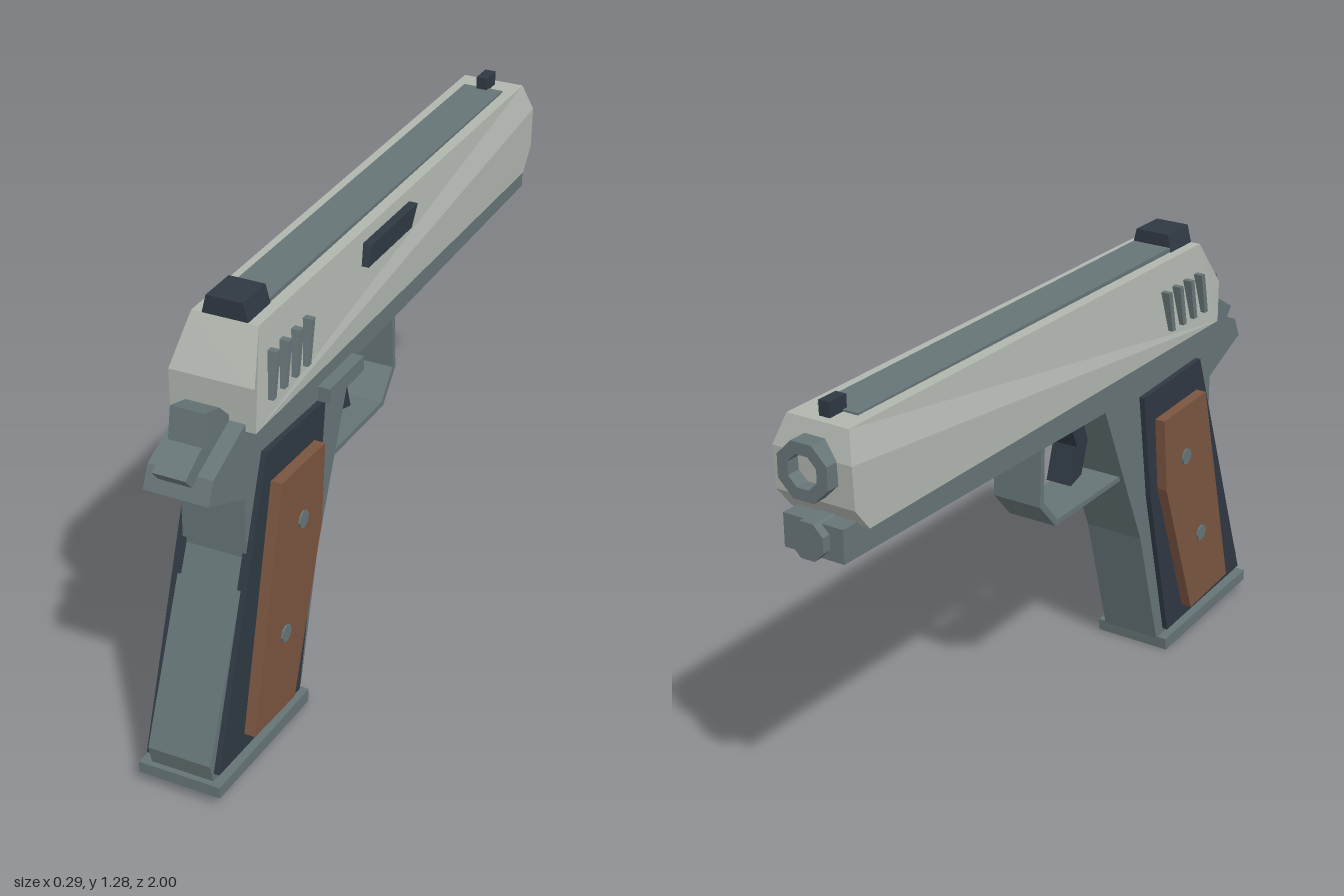
import * as THREE from 'three';

const mat = (color) => new THREE.MeshStandardMaterial({ color, flatShading: true });

export function createModel() {
  const group = new THREE.Group();
  const steel = mat(0xb0b5ae), grey = mat(0x667476), dark = mat(0x2f3842), wood = mat(0x7a5540);

  const add = (name, geo, material) => {
    const mesh = new THREE.Mesh(geo, material);
    mesh.name = name;
    group.add(mesh);
    return mesh;
  };
  // Side profile of [z, y] points, extruded from x0 to x1
  const slab = (name, pts, x0, x1, material) => {
    const shape = new THREE.Shape(pts.map(([z, y]) => new THREE.Vector2(z, y)));
    const geo = new THREE.ExtrudeGeometry(shape, { depth: x1 - x0, bevelEnabled: false });
    geo.rotateY(-Math.PI / 2).translate(x1, 0, 0);
    return add(name, geo, material);
  };
  const box = (name, x0, x1, y0, y1, z0, z1, material) => {
    const geo = new THREE.BoxGeometry(x1 - x0, y1 - y0, z1 - z0);
    geo.translate((x0 + x1) / 2, (y0 + y1) / 2, (z0 + z1) / 2);
    return add(name, geo, material);
  };

  // Slide: mirrored profile of [z, y, halfWidth], narrower along the top
  const profile = [
    [0.765, 0.985, 0.118], [0.765, 1.107, 0.118], [0.69, 1.237, 0.092], [-0.936, 1.245, 0.092],
    [-0.963, 1.166, 0.118], [-0.957, 1.05, 0.118], [-0.904, 0.985, 0.118],
  ];
  const n = profile.length, pos = [], idx = [];
  for (const s of [1, -1]) for (const [z, y, w] of profile) pos.push(s * w, y, z);
  for (let i = 0; i < n; i++) {
    const j = (i + 1) % n;
    idx.push(i, j, n + j, i, n + j, n + i);
    if (i > 0 && i < n - 1) idx.push(0, i + 1, i, n, n + i, n + i + 1);
  }
  const slide = new THREE.BufferGeometry();
  slide.setAttribute('position', new THREE.Float32BufferAttribute(pos, 3));
  slide.setIndex(idx);
  slide.computeVertexNormals();
  add('slide', slide, steel);

  // Slide details
  box('topRib', -0.06, 0.06, 1.22, 1.25, -0.86, 0.6, grey);
  box('frontSight', -0.016, 0.016, 1.23, 1.285, -0.91, -0.845, dark);
  const rearSight = box('rearSight', -0.065, 0.065, 1.23, 1.287, 0.577, 0.69, dark);
  const sp = rearSight.geometry.attributes.position;
  for (let i = 0; i < sp.count; i++) if (sp.getY(i) > 1.26) sp.setX(i, sp.getX(i) * 0.78);
  slab('ejectionPort', [[0.134, 1.208], [0.155, 1.152], [-0.107, 1.152], [-0.144, 1.208]], 0.09, 0.121, dark);
  for (const s of [1, -1]) {
    for (let i = 0; i < 4; i++) {
      const z = 0.665 - i * 0.061;
      slab('serration', [[z, 1.16], [z + 0.025, 1.04], [z + 0.007, 1.04], [z - 0.018, 1.16]],
        s > 0 ? 0.09 : -0.126, s > 0 ? 0.126 : -0.09, grey);
    }
  }

  // Octagonal barrel with an open bore, and the plug beneath it
  const ring = [[0, 0.1], [0.046, 0.1], [0.046, 0.2], [0.08, 0.2], [0.08, 0]]
    .reverse().map(([r, h]) => new THREE.Vector2(r, h));
  const barrel = new THREE.LatheGeometry(ring, 8, Math.PI / 8);
  barrel.rotateX(-Math.PI / 2).translate(0, 1.137, -0.8);
  add('barrel', barrel, grey);
  const plug = new THREE.CylinderGeometry(0.053, 0.053, 0.1, 8);
  plug.rotateY(Math.PI / 8).rotateX(-Math.PI / 2).translate(0, 0.957, -0.945);
  add('recoilPlug', plug, grey);

  // Frame with dust cover, grip and rear tang
  slab('frame', [
    [0.765, 1.005], [0.925, 0.936], [0.952, 0.877], [0.78, 0.8], [0.78, 0.626], [0.995, 0.123],
    [0.98, 0.06], [0.503, 0.043], [0.396, 0.42], [0.193, 0.888], [-0.97, 0.909], [-0.97, 1.0],
  ], -0.09, 0.09, grey);
  slab('magazineBase', [[1, 0.07], [1, 0.037], [0.515, 0.005], [0.51, 0.043]], -0.118, 0.118, grey);
  slab('hammer', [
    [0.765, 1.02], [0.81, 1.064], [0.882, 1.085], [0.898, 1.0], [0.979, 0.952], [0.952, 0.92], [0.76, 0.99],
  ], -0.046, 0.046, grey);
  box('slideStop', 0.112, 0.147, 0.898, 0.94, 0.235, 0.428, grey);

  // Trigger and its guard
  slab('trigger', [
    [0.144, 0.9], [0.182, 0.8], [0.15, 0.706], [0.096, 0.69], [0.128, 0.797], [0.08, 0.9],
  ], -0.04, 0.04, dark);
  slab('triggerGuard', [
    [0.3, 0.652], [0.3, 0.637], [-0.035, 0.63], [-0.112, 0.715], [-0.105, 0.9],
    [-0.088, 0.9], [-0.093, 0.722], [-0.025, 0.646],
  ], -0.075, 0.075, grey);

  // Grip panels and screws on both sides
  const panel = [[0.69, 0.888], [0.979, 0.091], [0.54, 0.059], [0.422, 0.545], [0.374, 0.872]];
  const plate = [[0.674, 0.797], [0.845, 0.128], [0.626, 0.107], [0.46, 0.56], [0.438, 0.786]];
  for (const s of [1, -1]) {
    const side = (name, pts, a, b, m) => slab(name, pts, s > 0 ? a : -b, s > 0 ? b : -a, m);
    side('gripPanel', panel, 0.08, 0.106, dark);
    side('gripPlate', plate, 0.1, 0.137, wood);
    for (const [z, y] of [[0.567, 0.631], [0.671, 0.342]]) {
      const screw = new THREE.CylinderGeometry(0.025, 0.025, 0.03, 8);
      screw.rotateZ(Math.PI / 2).translate(s * 0.127, y, z);
      add('gripScrew', screw, grey);
    }
  }

  group.position.x = -0.003;
  return group;
}
